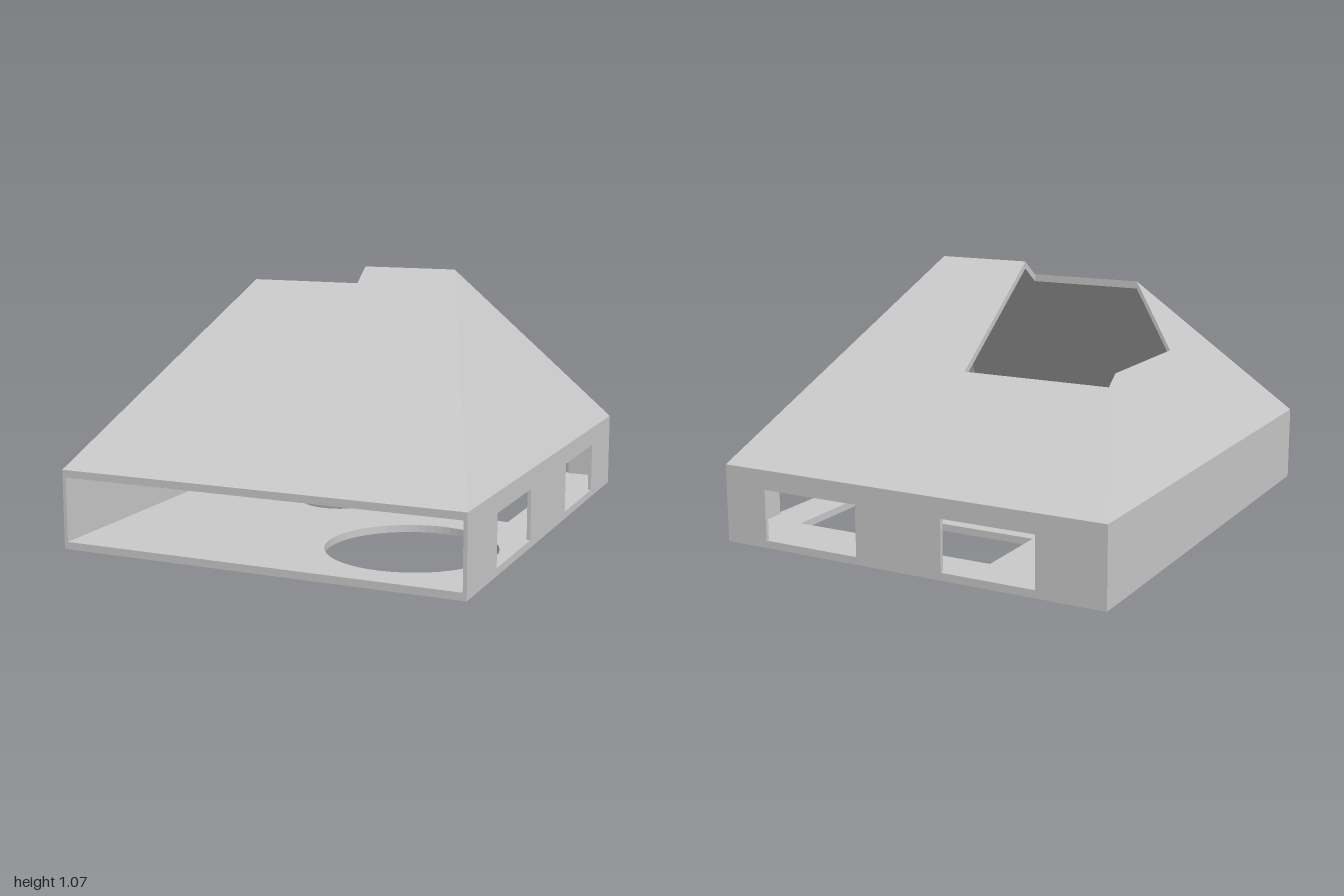
import * as THREE from 'three';

const W = 0.84, L = 1, T = 0.03, WALL = 0.015, EAVE = 0.32, RIDGE = 1.07, HALF_RIDGE = 0.42;

// Height of the hipped roof above a plan position
const roofHeight = (x, z) => Math.min(
  RIDGE - (RIDGE - EAVE) * Math.abs(z) / L,
  RIDGE - (RIDGE - EAVE) * Math.max(0, Math.abs(x) - HALF_RIDGE) / (W - HALF_RIDGE));
// Half width of the roof at the hip line
const hipX = z => HALF_RIDGE + (W - HALF_RIDGE) * Math.abs(z);

const shapeOf = pts => new THREE.Shape(pts.map(([x, y]) => new THREE.Vector2(x, y)));
const rect = (x0, x1, y0, y1) => shapeOf([[x0, y0], [x1, y0], [x1, y1], [x0, y1]]);
const extrude = (shape, depth) =>
  new THREE.ExtrudeGeometry(shape, { depth, bevelEnabled: false, curveSegments: 32 });

export function createModel() {
  const model = new THREE.Group();
  model.name = 'hippedHouse';
  const material = new THREE.MeshStandardMaterial({ color: 0xcccccc, flatShading: true, side: THREE.DoubleSide });
  const add = (name, geometry, parent = model) => {
    const mesh = new THREE.Mesh(geometry, material);
    mesh.name = name;
    parent.add(mesh);
    return mesh;
  };

  // Floor with two round and two rectangular openings (shape y is -z)
  const floor = rect(-W, W, -L, L);
  for (const [x, z, r] of [[0.447, 0.53, 0.34], [-0.13, -0.07, 0.17]]) {
    floor.holes.push(new THREE.Path().absarc(x, -z, r, 0, Math.PI * 2));
  }
  floor.holes.push(rect(0.325, 0.67, -0.01, 0.75), rect(-0.27, 0.18, 0.48, 0.825));
  add('floor', extrude(floor, T).rotateX(-Math.PI / 2));

  // Back wall with two windows
  const back = rect(-W, W, T, EAVE - T);
  back.holes.push(rect(-0.555, -0.16, 0.03 + 0.001, 0.24), rect(0.22, 0.65, 0.03 + 0.001, 0.24));
  add('backWall', extrude(back, WALL).translate(0, 0, -L));

  // Side walls: windows on +x only (shape x is -z)
  const leftWall = rect(-L, L - WALL, T, EAVE - T);
  leftWall.holes.push(rect(-0.67, -0.25, 0.031, 0.24), rect(0.25, 0.685, 0.031, 0.24));
  add('leftWall', extrude(leftWall, WALL).rotateY(Math.PI / 2).translate(W - WALL, 0, 0));
  const rightWall = rect(-L, L - WALL, T, EAVE - T);
  add('rightWall', extrude(rightWall, WALL).rotateY(Math.PI / 2).translate(-W, 0, 0));

  // Roof slopes as plan outlines [x, z] around a rectangular cut-out
  const cx0 = -0.61, cx1 = 0.02, cz0 = -0.51, cz1 = 0.085;
  const hipZ = -(Math.abs(cx0) - HALF_RIDGE) / (W - HALF_RIDGE);
  const slopes = {
    frontRoof: [[-W, L], [W, L], [HALF_RIDGE, 0], [cx1, 0], [cx1, cz1], [-hipX(cz1), cz1]],
    leftRoof: [[HALF_RIDGE, 0], [W, L], [W, -L]],
    backRoof: [[HALF_RIDGE, 0], [W, -L], [-W, -L], [cx0, hipZ], [cx0, cz0], [cx1, cz0], [cx1, 0]],
    rightRoof: [[-W, -L], [-W, L], [-hipX(cz1), cz1], [cx0, cz1], [cx0, hipZ]],
  };
  const roof = new THREE.Group();
  roof.name = 'roof';
  model.add(roof);
  for (const [name, outline] of Object.entries(slopes)) {
    const geometry = extrude(shapeOf(outline.map(([x, z]) => [x, -z])), T).rotateX(-Math.PI / 2);
    const p = geometry.attributes.position;
    for (let i = 0; i < p.count; i++) {
      p.setY(i, p.getY(i) - T + roofHeight(p.getX(i), p.getZ(i)));
    }
    geometry.computeVertexNormals();
    add(name, geometry, roof);
  }

  // Small bench on short legs by the back wall
  const bench = new THREE.Group();
  bench.name = 'bench';
  bench.position.set(-0.59, 0, -0.54);
  model.add(bench);
  add('benchSeat', new THREE.BoxGeometry(0.135, 0.046, 0.065).translate(0, 0.068, 0), bench);
  for (const x of [-0.05, -0.018, 0.018, 0.05]) {
    for (const z of [-0.022, 0.022]) {
      add('benchLeg', new THREE.BoxGeometry(0.01, 0.015, 0.01).translate(x, 0.0375, z), bench);
    }
  }
  return model;
}
